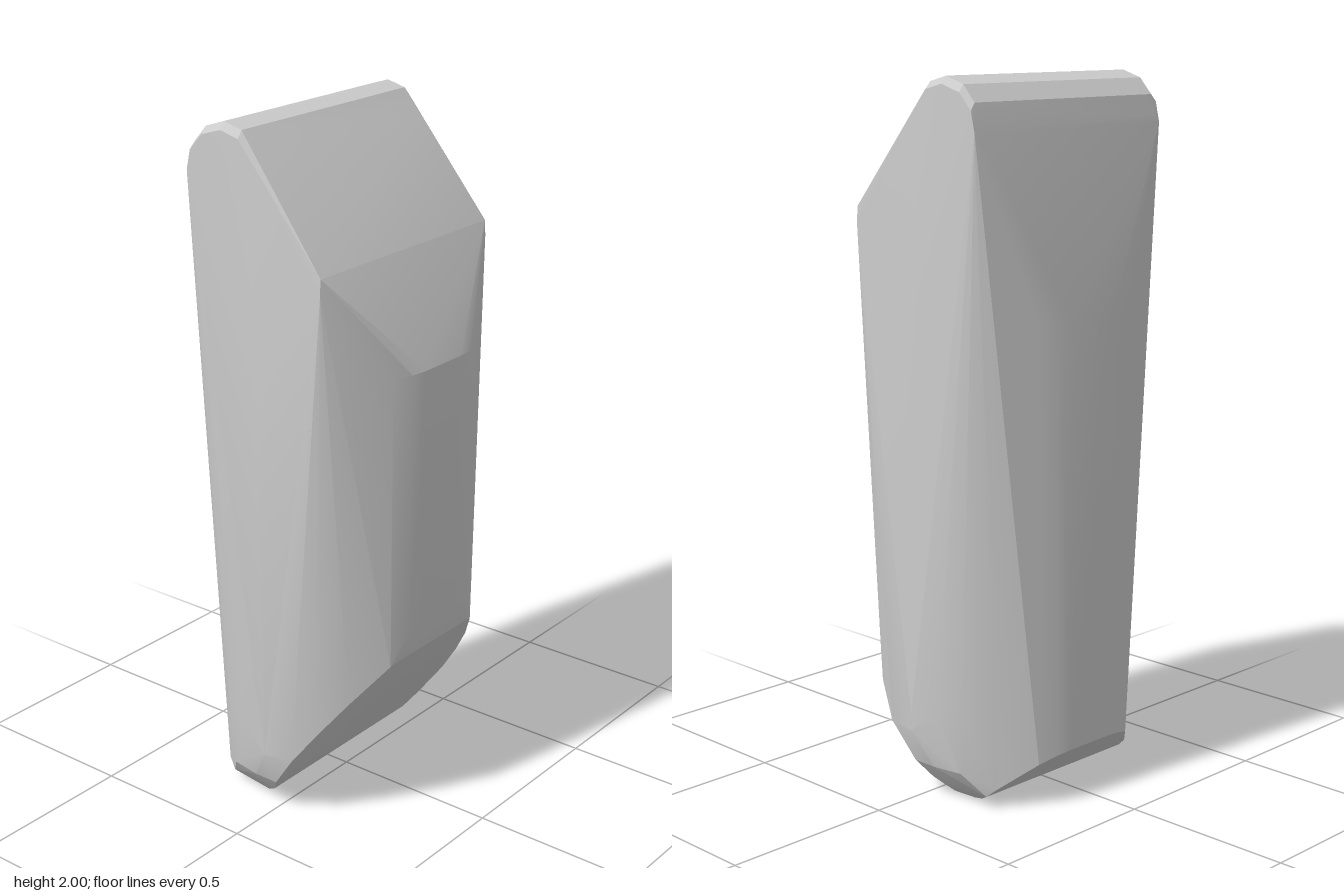
import * as THREE from 'three';
import { ConvexGeometry } from 'three/addons/geometries/ConvexGeometry.js';
import { mergeVertices, toCreasedNormals } from 'three/addons/utils/BufferGeometryUtils.js';

// Each entry is [x, y, z]; every point is mirrored to -z.
// Rounded ridge along the top: outer profile and slightly inset cap edge
const ridge = [
  [-0.245, 1.88], [-0.232, 1.935], [-0.19, 1.98], [-0.125, 2.0], [-0.065, 1.985], [-0.015, 1.925],
];
// Shoulder corner where the sloping roof meets the end caps
const shoulder = [[0.205, 1.645, 0.363], [0.205, 1.6, 0.366]];
// Half of the oval body section: [x, z]
const oval = [
  [0.332, 0.08], [0.326, 0.13], [0.307, 0.19], [0.23, 0.28], [0.16, 0.335], [0.09, 0.364], [0, 0.375],
];
// Rounded nose along the bottom
const nose = [
  [0.015, 0.1, 0.345], [-0.02, 0.05, 0.31], [-0.07, 0.012, 0.275], [-0.125, 0, 0.25],
  [-0.16, 0.008, 0.255], [-0.2, 0.032, 0.28], [-0.15, 0.1, 0.33], [-0.06, 0.1, 0.345],
];

// Slanted cuts that end the oval body below
const frontCut = x => 0.05 + (x + 0.02) * 1.394;
const backCut = x => 0.15 - (x + 0.332) * 0.9;

export function createModel() {
  const group = new THREE.Group();
  const half = [...shoulder, ...nose];

  for (const [x, y] of ridge) {
    half.push([x, y - 0.02, 0.362]);
    half.push([-0.125 + (x + 0.125) * 0.97, y, 0.345]);
  }
  for (const [x, z] of oval) {
    half.push([x, 1.35, z], [-x, 1.35, z]);
    half.push([x, x > 0.31 ? 0.6 : Math.max(frontCut(x), 0.2), z]);
    if (x > 0.2) half.push([-x, backCut(-x), z * 0.95]);
    else half.push([-x, 0.27, z]);
  }
  // Lower rim of the flat side face
  half.push([0.312, 0.513, 0.165]);

  const points = half.flatMap(([x, y, z]) => [new THREE.Vector3(x, y, z), new THREE.Vector3(x, y, -z)]);
  let geometry = new ConvexGeometry(points);
  geometry.deleteAttribute('normal');
  geometry = toCreasedNormals(mergeVertices(geometry, 1e-4), 0.3);

  const body = new THREE.Mesh(geometry, new THREE.MeshStandardMaterial({ color: 0xcccccc }));
  body.name = 'facetedBody';
  group.add(body);
  return group;
}
